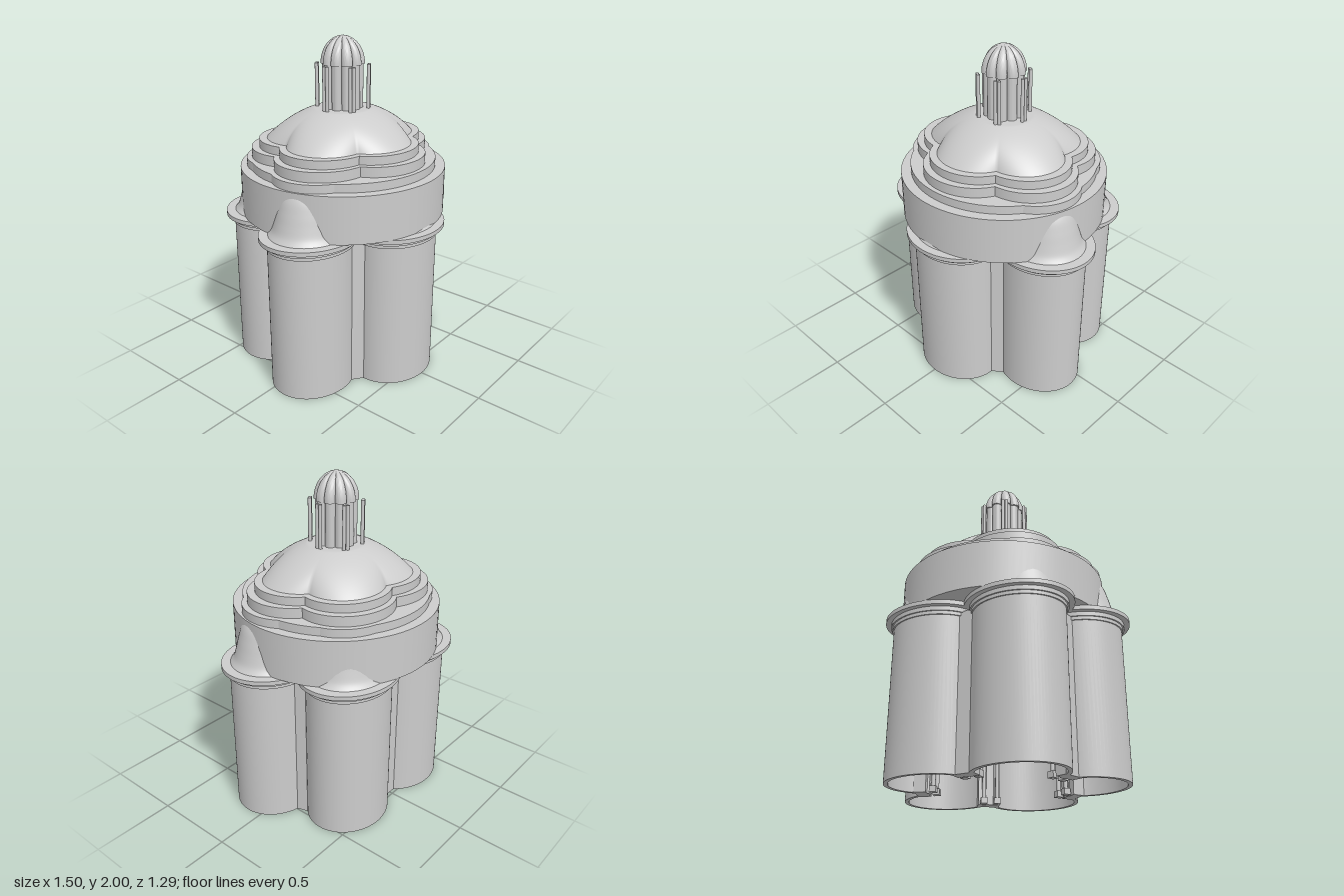
import * as THREE from 'three';
import { toCreasedNormals } from 'three/addons/utils/BufferGeometryUtils.js';

const ZC = -0.03;       // centre of the plan along z
const SQUASH = 0.873;   // the five-lobed plan is shallower than it is wide
const LOBE_R = 0.452;   // distance of each lobe from the centre
const TAU = Math.PI * 2;

// Radius of the union of five circles, measured at angle t from the front;
// the notches between circles go no deeper than min.
function rosette(R, r, min = 0) {
  return t => {
    const step = TAU / 5;
    const a = t - Math.round(t / step) * step;
    const s = R * Math.sin(a);
    return Math.max(min, R * Math.cos(a) + Math.sqrt(Math.max(0, r * r - s * s)));
  };
}

function outline(f, squash, n = 240) {
  return Array.from({ length: n }, (_, i) => {
    const t = (i / n) * TAU, p = f(t);
    return new THREE.Vector2(p * Math.sin(t), -p * Math.cos(t) * squash);
  });
}

// Upright prism over a polar outline, optionally hollow.
function prism(f, squash, y0, y1, inner) {
  const shape = new THREE.Shape(outline(f, squash));
  if (inner) shape.holes.push(new THREE.Path(outline(inner, squash)));
  const g = new THREE.ExtrudeGeometry(shape, { depth: y1 - y0, bevelEnabled: false, curveSegments: 1 });
  g.rotateX(-Math.PI / 2).translate(0, y0, ZC);
  return toCreasedNormals(g, 0.5);
}

// Smooth skin through rings [y, radius function].
function loft(rings, squash, n = 200) {
  const pos = [], idx = [];
  rings.forEach(([y, f]) => {
    for (let i = 0; i < n; i++) {
      const t = (i / n) * TAU, p = f(t);
      pos.push(p * Math.sin(t), y, ZC + p * Math.cos(t) * squash);
    }
  });
  for (let k = 0; k < rings.length - 1; k++) {
    for (let i = 0; i < n; i++) {
      const a = k * n + i, b = k * n + (i + 1) % n;
      idx.push(a, b, b + n, a, b + n, a + n);
    }
  }
  const g = new THREE.BufferGeometry();
  g.setAttribute('position', new THREE.Float32BufferAttribute(pos, 3));
  g.setIndex(idx);
  g.computeVertexNormals();
  return g;
}

export function createModel() {
  const model = new THREE.Group();
  model.name = 'rotunda';
  const stone = new THREE.MeshStandardMaterial({ color: 0xcccccc });
  stone.name = 'pale stone';
  const add = (name, geometry, x = 0, y = 0, z = 0, turn = 0) => {
    const m = new THREE.Mesh(geometry, stone);
    m.name = name;
    m.position.set(x, y, z);
    m.rotation.y = turn;
    model.add(m);
    return m;
  };
  const plan = (p, t) => [p * Math.sin(t), ZC + p * Math.cos(t) * SQUASH];

  // Five-lobed hollow wall and its cornice
  add('wall', prism(rosette(LOBE_R, 0.27, 0.455), SQUASH, 0, 0.9, rosette(LOBE_R, 0.245, 0.43)));
  [[0.278, 0.895, 0.915], [0.287, 0.915, 0.94], [0.32, 0.94, 0.965]].forEach(([r, y0, y1], i) =>
    add('cornice' + (i + 1), prism(rosette(LOBE_R, r), SQUASH, y0, y1)));

  const pier = new THREE.BoxGeometry(0.13, 0.92, 0.07);
  const shaft = new THREE.CylinderGeometry(0.012, 0.012, 0.9, 12);
  const base = new THREE.BoxGeometry(0.04, 0.035, 0.04);
  const bell = new THREE.SplineCurve([
    [0.265, 0], [0.24, 0.035], [0.222, 0.09], [0.203, 0.16], [0.175, 0.24], [0.12, 0.305], [0, 0.34],
  ].map(p => new THREE.Vector2(...p)));
  const roof = new THREE.LatheGeometry(bell.getPoints(30), 48);

  for (let i = 0; i < 5; i++) {
    // Bell-shaped roof over each lobe
    const t = (i / 5) * TAU;
    const [lx, lz] = plan(LOBE_R, t);
    add('lobeRoof', roof, lx, 0.963, lz).scale.z = SQUASH;

    // Pier outside and paired columns inside each junction
    const j = t + Math.PI / 5;
    const [px, pz] = plan(0.475, j);
    add('pier', pier, px, 0.46, pz, j);
    for (const side of [-1, 1]) {
      const [cx, cz] = plan(0.4, j);
      const x = cx + side * 0.04 * Math.cos(j), z = cz - side * 0.04 * Math.sin(j);
      add('innerColumn', shaft, x, 0.48, z);
      add('columnBase', base, x, 0.0175, z, j);
      add('columnCapital', base, x, 0.9, z, j);
    }
  }

  // Round drum, with stepped rings above it
  add('drum', new THREE.CylinderGeometry(0.616, 0.616, 0.28, 96), 0, 1.105, ZC);
  add('drumRing', new THREE.CylinderGeometry(0.557, 0.557, 0.05, 96), 0, 1.27, ZC);
  [[0.3, 0.31, 0.91, 1.24, 1.295], [0.27, 0.3, 0.93, 1.29, 1.355], [0.24, 0.28, 0.935, 1.35, 1.405]]
    .forEach(([R, r, squash, y0, y1], i) => add('step' + (i + 1), prism(rosette(R, r), squash, y0, y1)));

  // Main dome: a spherical cap, lobed at the foot, round and flat at the crown
  const foot = rosette(0.23, 0.245);
  const rings = [];
  for (let k = 0; k <= 20; k++) {
    const c = 1 - k / 20, p = 0.17 + 0.29 * c;
    rings.push([0.996 + Math.sqrt(0.612 * 0.612 - p * p),
      t => p * (1 + (foot(t) / 0.46 - 1) * c * c)]);
  }
  rings.push([1.586, () => 0]);
  add('dome', loft(rings, 0.94));

  // Lantern with scalloped body and overhanging ribbed cap
  const scallop = scale => t => scale * (0.1 + 0.029 * Math.sqrt(Math.abs(Math.cos(5 * t))));
  add('lanternBody', prism(scallop(0.93), 1, 1.57, 1.845));
  const capRings = [[1.84, () => 0]];
  for (let k = 0; k <= 14; k++) {
    const a = (k / 14) * Math.PI / 2;
    capRings.push([1.84 + 0.16 * Math.sin(a), scallop(Math.cos(a))]);
  }
  add('lanternCap', toCreasedNormals(loft(capRings, 1, 240), 0.7));

  // Six pairs of slender columns around the lantern
  const post = new THREE.CylinderGeometry(0.0105, 0.0105, 0.27, 12);
  for (let i = 0; i < 6; i++) {
    const t = Math.PI / 6 + (i / 6) * TAU;
    for (const side of [-1, 1]) {
      const x = 0.153 * Math.sin(t) + side * 0.011 * Math.cos(t);
      const z = 0.153 * Math.cos(t) - side * 0.011 * Math.sin(t);
      add('lanternColumn', post, x, 1.705, ZC + z);
    }
  }
  return model;
}
